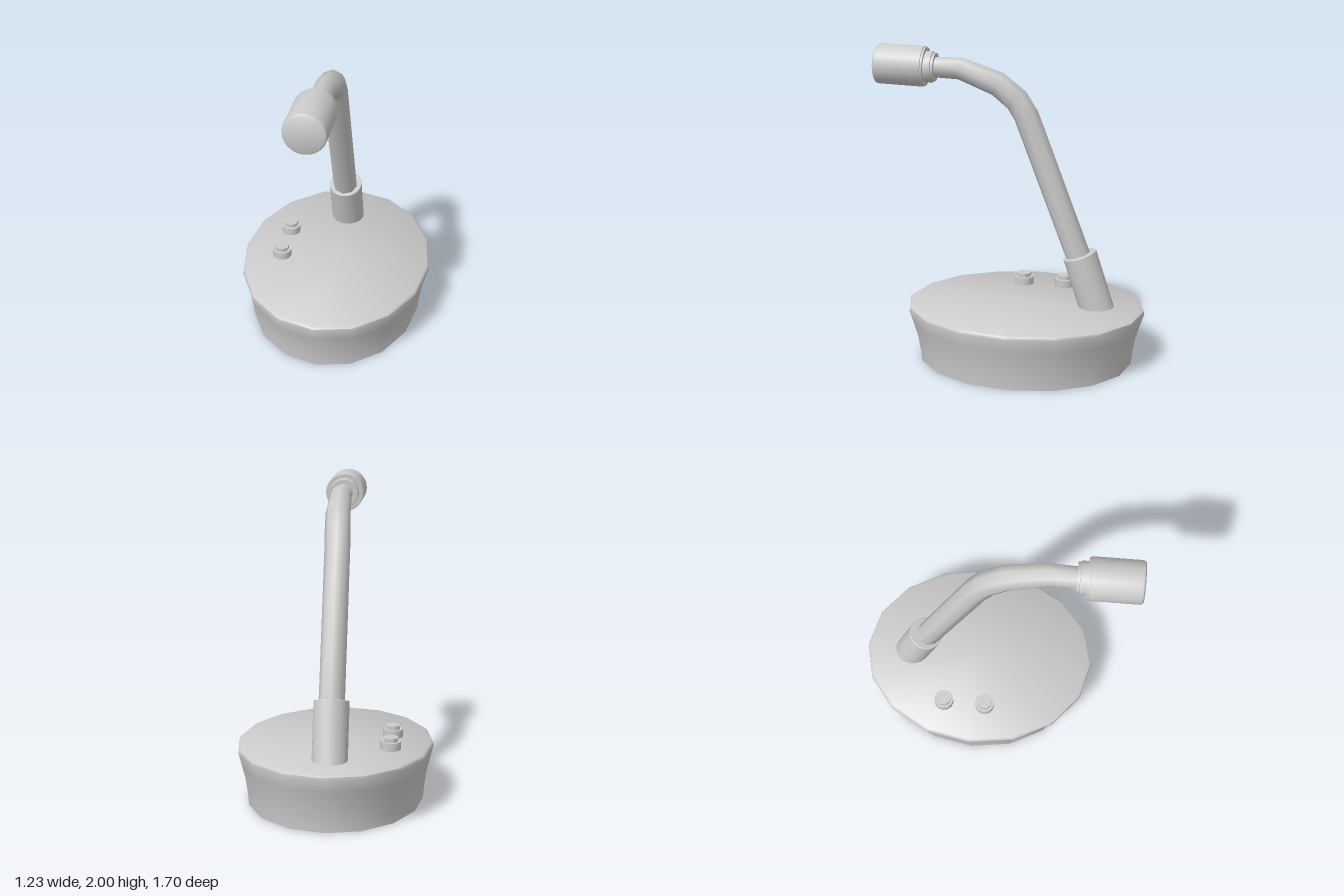
import * as THREE from 'three';
import { toCreasedNormals } from 'three/addons/utils/BufferGeometryUtils.js';

const material = new THREE.MeshStandardMaterial({ color: 0xcccccc });

function addMesh(parent, name, geometry, crease = 0.6) {
  const mesh = new THREE.Mesh(toCreasedNormals(geometry, crease), material);
  mesh.name = name;
  parent.add(mesh);
  return mesh;
}

// Turned part from [radius, height] pairs
function turned(profile, sides) {
  return new THREE.LatheGeometry(profile.map(([r, y]) => new THREE.Vector2(r, y)), sides);
}

// Tube through sections [x, y, z, radius] that bends in the yz plane
function bentTube(sections, sides) {
  const positions = [], indices = [];
  sections.forEach(([x, y, z, r], i) => {
    const a = sections[Math.max(i - 1, 0)];
    const b = sections[Math.min(i + 1, sections.length - 1)];
    const angle = Math.atan2(b[1] - a[1], b[2] - a[2]);
    for (let j = 0; j < sides; j++) {
      const t = (j / sides) * Math.PI * 2;
      const u = r * Math.cos(t), v = r * Math.sin(t);
      positions.push(x + u, y + v * Math.cos(angle), z - v * Math.sin(angle));
      if (i === 0) continue;
      const k = (j + 1) % sides;
      const p = (i - 1) * sides, q = i * sides;
      indices.push(p + j, p + k, q + k, p + j, q + k, q + j);
    }
  });
  const geometry = new THREE.BufferGeometry();
  geometry.setAttribute('position', new THREE.Float32BufferAttribute(positions, 3));
  geometry.setIndex(indices);
  return geometry;
}

export function createModel() {
  const model = new THREE.Group();
  model.name = 'gooseneckMicrophone';

  // Flared oval base with a soft rim
  const baseShape = turned([
    [0, 0], [0.685, 0], [0.69, 0.06], [0.708, 0.17], [0.735, 0.26],
    [0.76, 0.34], [0.757, 0.358], [0.74, 0.37], [0, 0.37],
  ], 16);
  baseShape.scale(0.81, 1, 1);
  addMesh(model, 'base', baseShape, 0.75).position.z = -0.09;

  // Leaning socket that holds the stem
  const socket = addMesh(model, 'stemSocket',
    turned([[0, -0.42], [0.108, -0.42], [0.108, -0.004], [0.104, 0], [0, 0]], 20));
  socket.position.set(-0.01, 0.705, -0.433);
  socket.rotation.x = 0.315;

  // Bent stem, tapering towards the head
  addMesh(model, 'stem', bentTube([
    [-0.01, 0.60, -0.46, 0.079],
    [-0.01, 1.575, -0.09, 0.079],
    [-0.005, 1.67, -0.032, 0.079],
    [0.003, 1.768, 0.085, 0.078],
    [0.008, 1.857, 0.32, 0.069],
    [0.008, 1.862, 0.53, 0.062],
  ], 8), 0.9);

  // Head: narrow collar, back step, barrel and rounded front
  const head = addMesh(model, 'head', turned([
    [0, 0], [0.089, 0], [0.089, 0.016], [0.097, 0.018], [0.097, 0.06],
    [0.12, 0.06], [0.12, 0.072], [0.125, 0.074], [0.125, 0.355],
    [0.121, 0.368], [0.11, 0.375], [0, 0.375],
  ], 24));
  head.position.set(0.005, 1.859, 0.475);
  head.rotation.x = Math.PI / 2 - 0.045;

  // Two stepped push buttons
  for (const z of [-0.015, -0.288]) {
    const button = new THREE.Group();
    button.name = 'button';
    button.position.set(-0.357, 0.36, z);
    const ring = addMesh(button, 'buttonCollar', new THREE.CylinderGeometry(0.064, 0.064, 0.06, 12));
    ring.position.y = 0.03;
    const cap = addMesh(button, 'buttonCap', new THREE.CylinderGeometry(0.048, 0.048, 0.05, 8));
    cap.position.y = 0.06;
    cap.rotation.y = Math.PI / 8;
    model.add(button);
  }

  return model;
}
